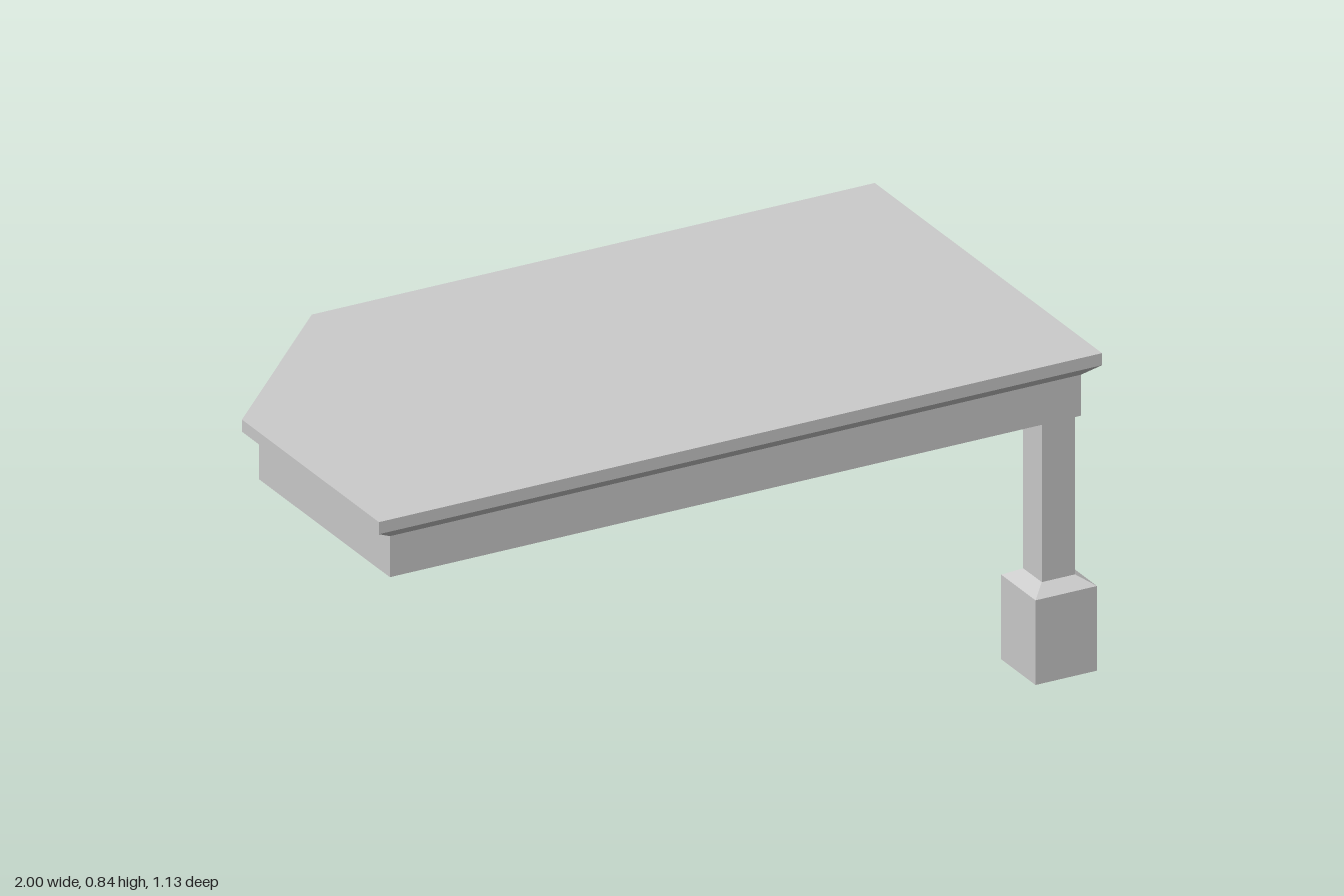
import * as THREE from 'three';

const material = new THREE.MeshStandardMaterial({ color: 0xcccccc, flatShading: true });

// Capped solid from a convex [x, z] outline (counter-clockwise from above),
// stacked as [height, scale] levels.
function stackedSolid(name, outline, levels) {
  const rings = levels.map(([y, s]) => outline.map(([x, z]) => [x * s, y, z * s]));
  const positions = [];
  const tri = (a, b, c) => positions.push(...a, ...b, ...c);
  const n = outline.length;
  for (let k = 0; k < rings.length - 1; k++) {
    const low = rings[k], high = rings[k + 1];
    for (let i = 0; i < n; i++) {
      const j = (i + 1) % n;
      tri(low[i], low[j], high[j]);
      tri(low[i], high[j], high[i]);
    }
  }
  const bottom = rings[0], top = rings[rings.length - 1];
  for (let i = 1; i < n - 1; i++) {
    tri(top[0], top[i], top[i + 1]);
    tri(bottom[0], bottom[i + 1], bottom[i]);
  }
  const geometry = new THREE.BufferGeometry();
  geometry.setAttribute('position', new THREE.Float32BufferAttribute(positions, 3));
  geometry.computeVertexNormals();
  const mesh = new THREE.Mesh(geometry, material);
  mesh.name = name;
  return mesh;
}

export function createModel() {
  const model = new THREE.Group();
  model.name = 'porchRoof';

  // Roof plan with one clipped back corner
  const plan = [[1, 0.558], [1, -0.567], [-0.557, -0.567], [-1, -0.12], [-1, 0.558]];
  const inset = 0.956;
  model.add(stackedSolid('fasciaBeam', plan, [[0.67, inset], [0.779, inset]]));
  model.add(stackedSolid('roofSlab', plan, [[0.779, inset], [0.804, 1], [0.836, 1]]));

  // Corner post on a square pedestal with a sloped cap
  const square = [[1, 1], [1, -1], [-1, -1], [-1, 1]];
  const post = new THREE.Group();
  post.name = 'cornerPost';
  post.position.set(0.896, 0, 0.482);
  post.add(stackedSolid('pedestal', square, [[0, 0.085], [0.225, 0.085], [0.249, 0.046]]));
  post.add(stackedSolid('postShaft', square, [[0.249, 0.046], [0.67, 0.046]]));
  model.add(post);

  return model;
}
